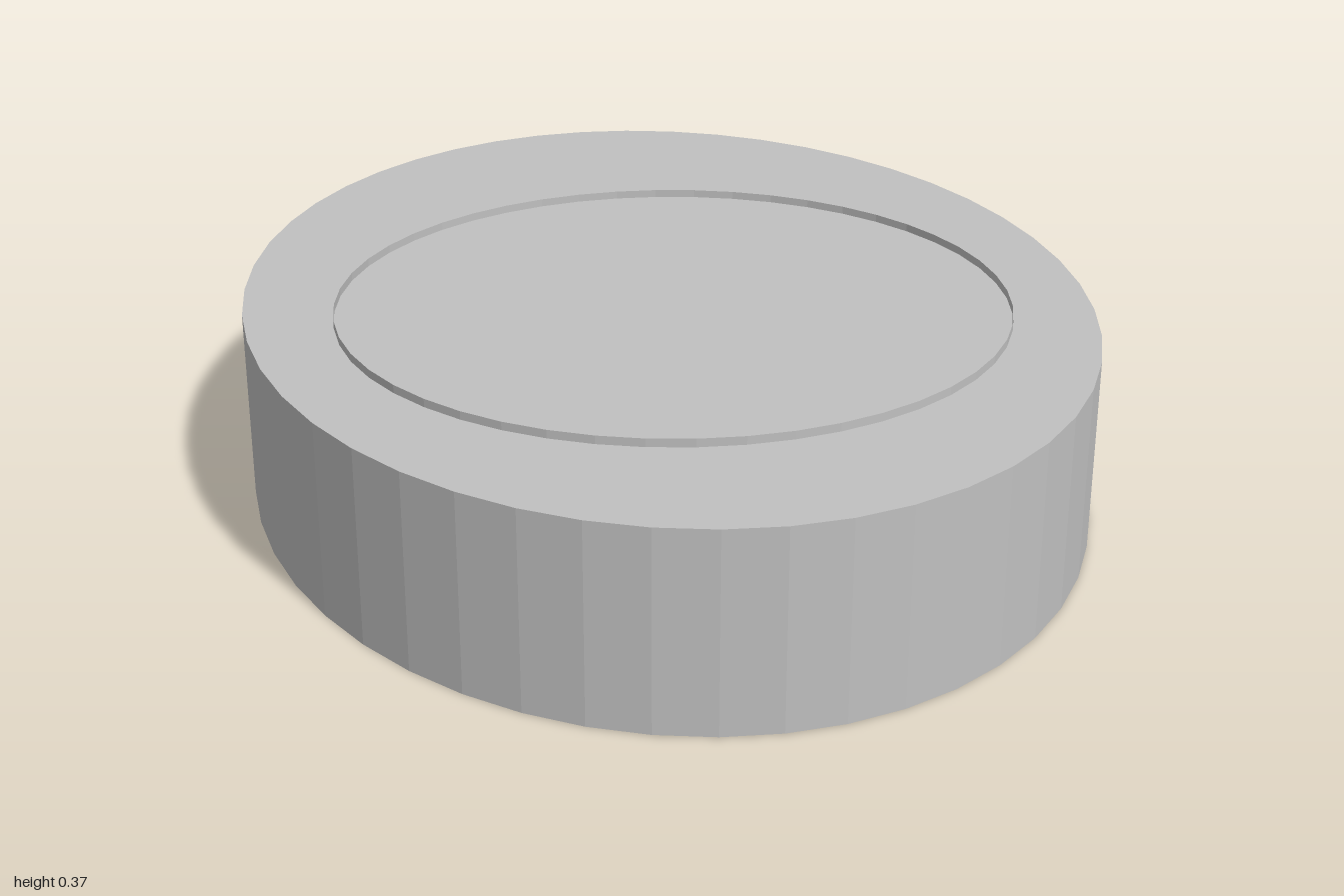
import * as THREE from 'three';

const HEIGHT = 0.355;
const RING_Z = 0.095;

export function createModel() {
  const model = new THREE.Group();
  const grey = new THREE.MeshStandardMaterial({ color: 0xc0c0c0, flatShading: true, side: THREE.DoubleSide });
  grey.name = 'grey';

  const add = (name, geometry) => {
    const mesh = new THREE.Mesh(geometry, grey);
    mesh.name = name;
    model.add(mesh);
    return mesh;
  };

  // Thin open wall standing between two heights
  const wall = (name, radius, bottom, top, z = 0) => {
    const geometry = new THREE.CylinderGeometry(radius, radius, top - bottom, 48, 1, true);
    return add(name, geometry.translate(0, (bottom + top) / 2, z));
  };

  // Oval shell, open underneath
  wall('outerWall', 1, 0, HEIGHT).scale.x = 0.777;
  const lid = new THREE.CircleGeometry(1, 48, Math.PI / 2).rotateX(-Math.PI / 2);
  add('topPlate', lid.scale(0.777, 1, 1).translate(0, HEIGHT, 0));

  // Round rim on the top, passing just through the plate
  wall('raisedRim', 0.617, HEIGHT - 0.012, 0.37, RING_Z);

  // Wider collar hanging beneath the plate
  wall('lowerCollar', 0.68, 0.325, HEIGHT - 0.001, RING_Z);

  return model;
}
